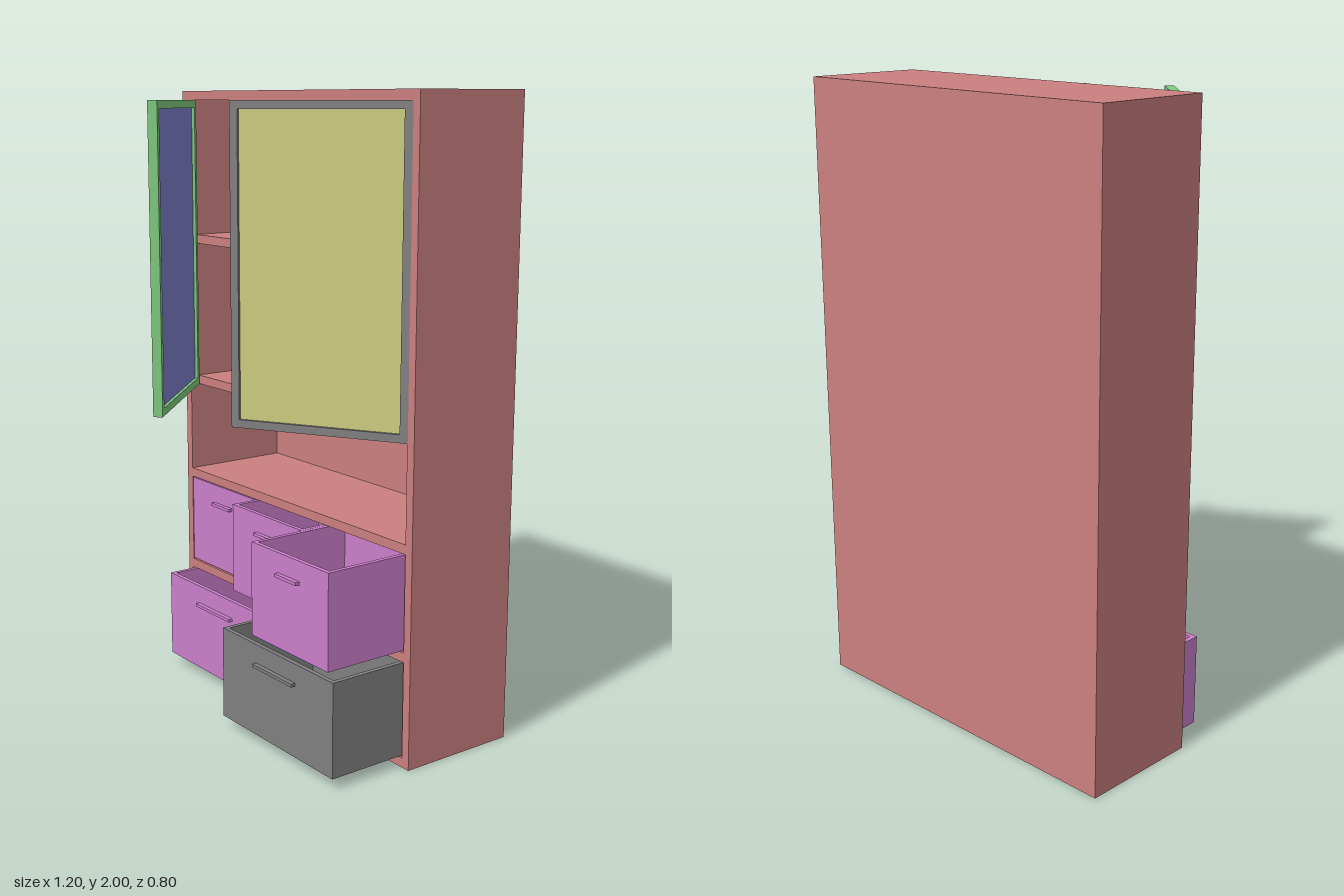
import * as THREE from 'three';

const paint = (color) => new THREE.MeshStandardMaterial({ color });
const RED = paint(0xcc8080), PINK = paint(0xcc80cc), GREY = paint(0x808080);
const GREEN = paint(0x80cc80), BLUE = paint(0x8080cc), YELLOW = paint(0xcccc80);

// Box given by its minimum and maximum corners
function slab(name, [x0, y0, z0], [x1, y1, z1], material) {
  const mesh = new THREE.Mesh(new THREE.BoxGeometry(x1 - x0, y1 - y0, z1 - z0), material);
  mesh.position.set((x0 + x1) / 2, (y0 + y1) / 2, (z0 + z1) / 2);
  mesh.name = name;
  return mesh;
}

// Rectangular ring in the xy plane, extruded from z0 to z1
function ring(name, x0, y0, x1, y1, border, z0, z1, material) {
  const rect = (Type, b) => new Type([
    new THREE.Vector2(x0 + b, y0 + b), new THREE.Vector2(x1 - b, y0 + b),
    new THREE.Vector2(x1 - b, y1 - b), new THREE.Vector2(x0 + b, y1 - b),
  ]);
  const shape = rect(THREE.Shape, 0);
  shape.holes.push(rect(THREE.Path, border));
  const geometry = new THREE.ExtrudeGeometry(shape, { depth: z1 - z0, bevelEnabled: false });
  const mesh = new THREE.Mesh(geometry, material);
  mesh.position.z = z0;
  mesh.name = name;
  return mesh;
}

// Open-topped drawer; front is the z of its front face
function drawer(name, x0, x1, y0, y1, front, handleY, handleWidth, material) {
  const group = new THREE.Group();
  group.name = name;
  const back = front - 0.365, wall = 0.015, mid = (x0 + x1) / 2;
  group.add(
    slab('drawerBottom', [x0 + wall, y0, back + wall], [x1 - wall, y0 + wall, front - wall], material),
    slab('drawerFront', [x0, y0, front - wall], [x1, y1, front], material),
    slab('drawerBack', [x0, y0, back], [x1, y1, back + wall], material),
    slab('drawerSide', [x0, y0, back + wall], [x0 + wall, y1, front - wall], material),
    slab('drawerSide', [x1 - wall, y0, back + wall], [x1, y1, front - wall], material),
    slab('handle', [mid - handleWidth / 2, handleY - 0.005, front],
      [mid + handleWidth / 2, handleY + 0.005, front + 0.015], material),
  );
  return group;
}

// Framed door hinged at its outer edge; side is -1 or +1 in x
function door(name, side, angle, frameMaterial, panelMaterial) {
  const group = new THREE.Group();
  group.name = name;
  const width = 0.56, border = 0.025, y0 = 1.003, y1 = 1.97;
  const x0 = side < 0 ? 0 : -width, x1 = x0 + width;
  group.add(
    ring('doorFrame', x0, y0, x1, y1, border, -0.03, 0, frameMaterial),
    slab('doorPanel', [x0 + border, y0 + border, -0.02],
      [x1 - border, y1 - border, -0.01], panelMaterial),
  );
  group.position.x = side * 0.572;
  group.rotation.y = side * THREE.MathUtils.degToRad(angle);
  return group;
}

export function createModel() {
  const model = new THREE.Group();
  model.name = 'cabinet';

  // Carcass
  model.add(ring('carcass', -0.6, 0, 0.6, 2, 0.03, -0.4, 0, RED));
  model.add(slab('backPanel', [-0.57, 0.03, -0.4], [0.57, 1.97, -0.37], RED));

  // Shelves: top height and front edge; those behind the doors sit back
  for (const [top, front] of [[0.365, 0], [0.7, 0], [1.03, -0.03], [1.52, -0.03]]) {
    model.add(slab('shelf', [-0.57, top - 0.03, -0.37], [0.57, top, front], RED));
  }

  // Upper row of three drawers, pulled out more and more to the left
  [0, 0.09, 0.28].forEach((front, i) => {
    const x0 = -0.566 + i * 0.3765;
    model.add(drawer('smallDrawer', x0, x0 + 0.3755, 0.37, 0.667, front, 0.6, 0.105, PINK));
  });

  // Lower row of two wide drawers
  model.add(drawer('wideDrawer', -0.566, -0.001, 0.035, 0.333, 0.1, 0.268, 0.2, PINK));
  model.add(drawer('wideDrawer', 0.001, 0.564, 0.035, 0.333, 0.262, 0.268, 0.2, GREY));

  // Doors, standing open
  model.add(door('rightDoor', -1, 45, GREEN, BLUE));
  model.add(door('leftDoor', 1, 30, GREY, YELLOW));

  return model;
}
